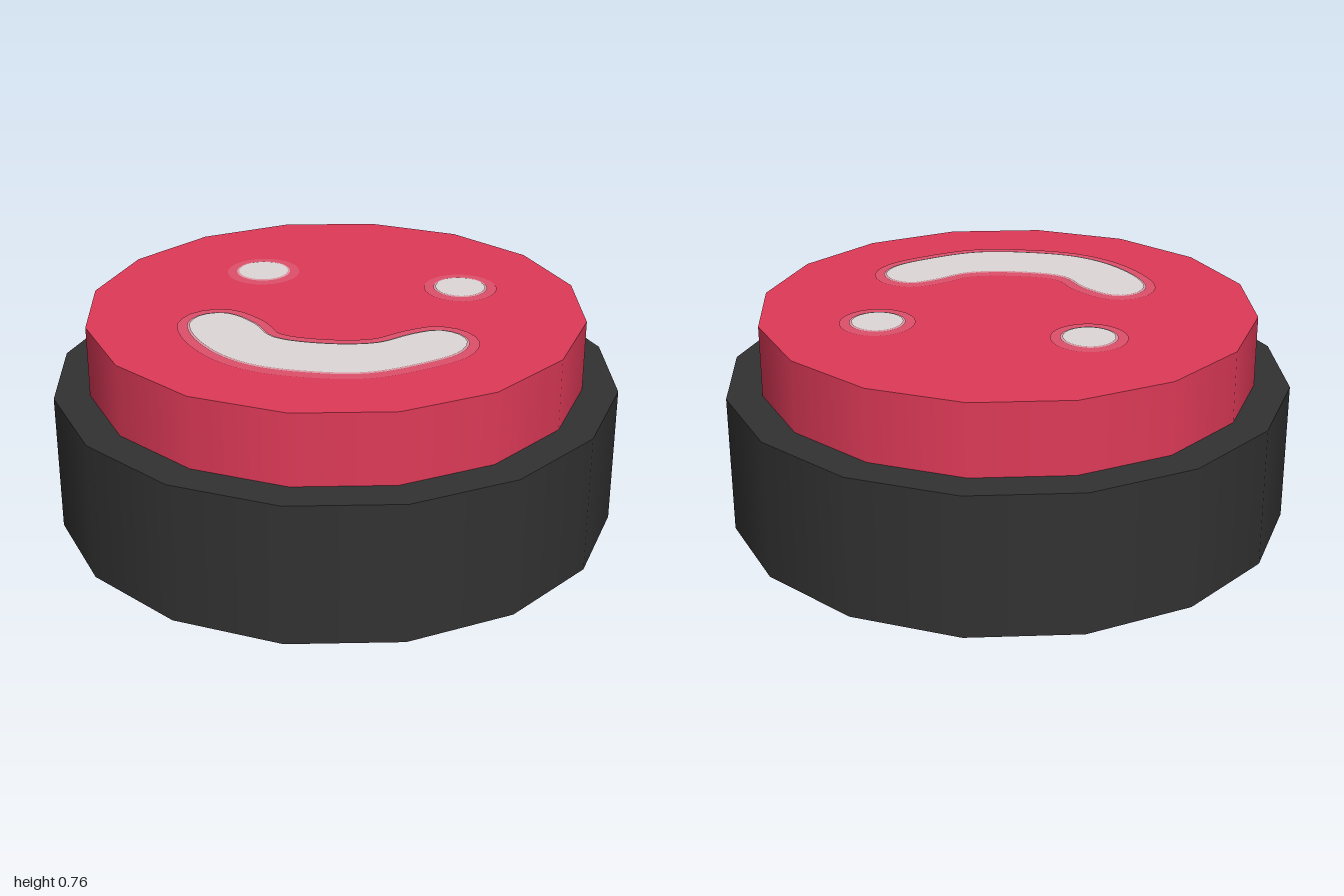
import * as THREE from 'three';

const mat = (name, color, side = THREE.FrontSide) =>
  Object.assign(new THREE.MeshStandardMaterial({ color, side }), { name });

export function createModel() {
  const group = new THREE.Group();
  const black = mat('housing black', 0x323232);
  const red = mat('button red', 0xdf3a58);
  // Paint layers, widest first: soft halo, thin rim, pale core
  const layers = [
    { part: 'Halo', grow: 0.042, material: mat('halo rose', 0xdf506a) },
    { part: 'Rim', grow: 0.008, material: mat('rim pink', 0xdf98a4) },
    { part: 'Core', grow: 0, material: mat('face pale grey', 0xdfd8d8) },
  ];
  const topY = 0.755;

  const add = (name, geometry, material, y) => {
    const mesh = new THREE.Mesh(geometry, material);
    mesh.name = name;
    mesh.position.y = y;
    group.add(mesh);
  };

  // Sixteen-sided housing and button with smooth walls
  add('housing', new THREE.CylinderGeometry(1, 1, 0.5, 16), black, 0.25);
  add('button', new THREE.CylinderGeometry(0.875, 0.875, 0.255, 16), red, 0.6275);

  // Paints an outline (x, z) as stacked thin faces, each grown outwards
  const paint = (name, outline) => {
    layers.forEach(({ part, grow, material }, i) => {
      const points = outline.map((p, k) => {
        const a = outline[(k + outline.length - 1) % outline.length];
        const b = outline[(k + 1) % outline.length];
        const t = b.clone().sub(a).normalize();
        return new THREE.Vector2(p.x + t.y * grow, p.y - t.x * grow);
      });
      const geometry = new THREE.ShapeGeometry(new THREE.Shape(points));
      geometry.rotateX(-Math.PI / 2);
      add(name + part, geometry, material, topY + 0.002 * (i + 1));
    });
  };

  // Eyes
  const eye = (name, x, z, r) => {
    const ring = [];
    for (let i = 0; i < 28; i++) {
      const a = (i / 28) * Math.PI * 2;
      ring.push(new THREE.Vector2(x + r * Math.cos(a), -z + r * Math.sin(a)));
    }
    paint(name, ring);
  };
  eye('rightEye', -0.317, -0.283, 0.09);
  eye('leftEye', 0.415, -0.24, 0.089);

  // Smile: a closed curve round the uneven hand-drawn mouth
  const mouth = [
    [-0.36, 0.14], [-0.435, 0.165], [-0.465, 0.235], [-0.43, 0.34], [-0.315, 0.475],
    [-0.18, 0.55], [0, 0.572], [0.19, 0.55], [0.35, 0.455], [0.47, 0.34],
    [0.488, 0.25], [0.45, 0.19], [0.38, 0.17], [0.3, 0.215], [0.19, 0.31],
    [0, 0.345], [-0.165, 0.315], [-0.25, 0.21],
  ].map(([x, z]) => new THREE.Vector3(x, -z, 0));
  const curve = new THREE.CatmullRomCurve3(mouth, true);
  paint('smile', curve.getSpacedPoints(72).slice(0, -1).map((p) => new THREE.Vector2(p.x, p.y)));

  return group;
}
